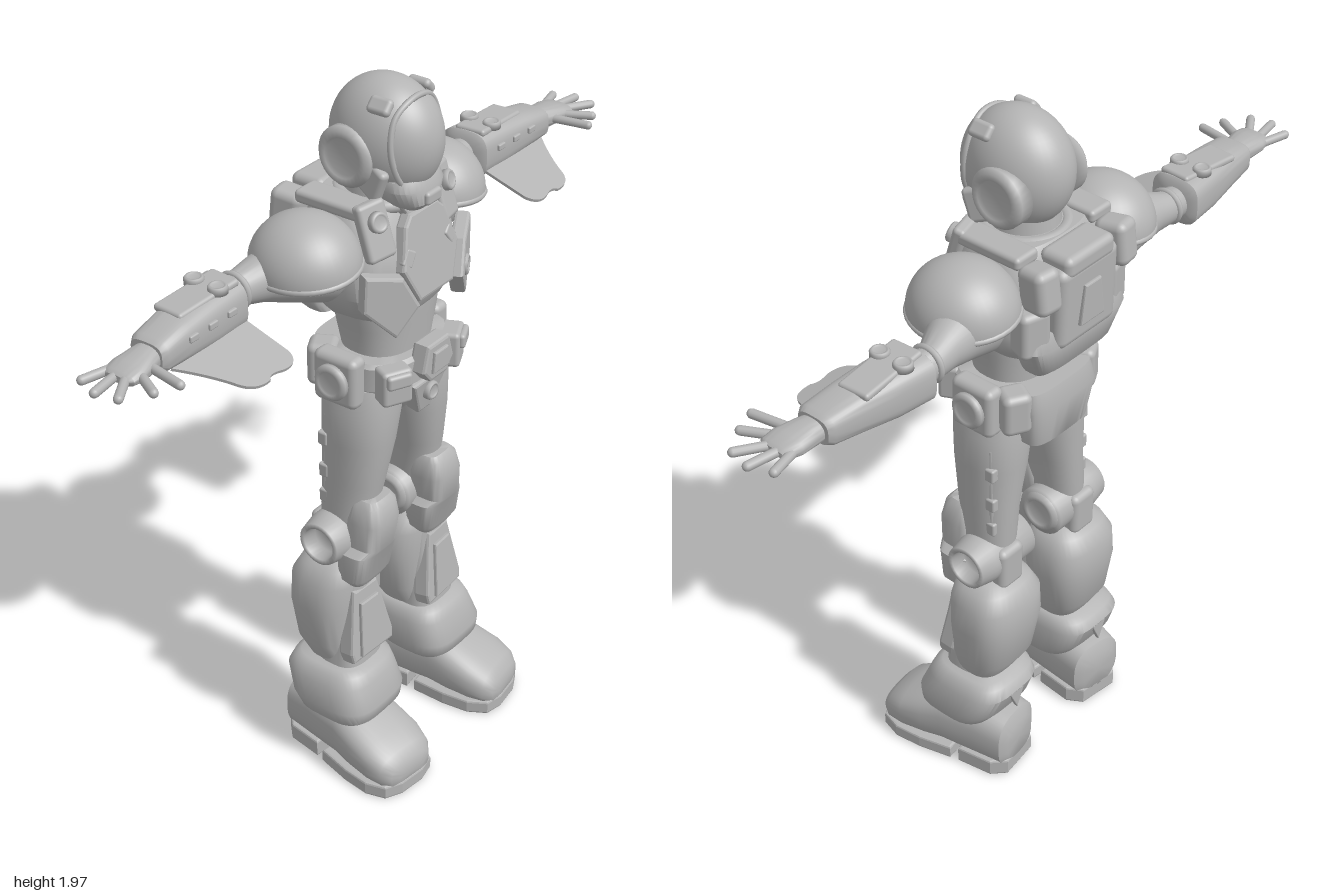
import * as THREE from 'three';
import { toCreasedNormals } from 'three/addons/utils/BufferGeometryUtils.js';
import { RoundedBoxGeometry } from 'three/addons/geometries/RoundedBoxGeometry.js';

const V = (x, y, z) => new THREE.Vector3(x, y, z);

// Superellipse rings along an axis. Ring: [position, halfA, halfB, centreA, centreB]
// (A, B) is (x, z) along y, (y, z) along x, (x, y) along z.
function loft(rings, p = 2, axis = 'y', n = 36) {
  const pos = [], idx = [], pw = v => Math.sign(v) * Math.pow(Math.abs(v), 2 / p);
  for (const [t, a, b, ca = 0, cb = 0] of rings) {
    const sa = axis === 'x' ? -1 : 1, sb = axis === 'z' ? -1 : 1;
    for (let j = 0; j < n; j++) {
      const w = (j / n) * Math.PI * 2;
      pos.push(sa * ca + a * pw(Math.cos(w)), t, sb * cb + b * pw(Math.sin(w)));
    }
  }
  const centre = (r, sa = axis === 'x' ? -1 : 1, sb = axis === 'z' ? -1 : 1) =>
    pos.push(sa * (r[3] || 0), r[0], sb * (r[4] || 0));
  centre(rings[0]); centre(rings[rings.length - 1]);
  const m = rings.length, bot = m * n, top = bot + 1;
  for (let j = 0; j < n; j++) {
    const k = (j + 1) % n;
    for (let i = 0; i < m - 1; i++) {
      const a = i * n + j, b = i * n + k;
      idx.push(a, a + n, b, b, a + n, b + n);
    }
    idx.push(bot, j, k, top, (m - 1) * n + k, (m - 1) * n + j);
  }
  const g = new THREE.BufferGeometry();
  g.setAttribute('position', new THREE.Float32BufferAttribute(pos, 3));
  g.setIndex(idx);
  if (axis === 'x') g.rotateZ(-Math.PI / 2);
  if (axis === 'z') g.rotateX(Math.PI / 2);
  return toCreasedNormals(g, 0.75);
}

// Bevelled plate facing +z
function plate(pts, depth, bevel = 0.008) {
  const s = new THREE.Shape(pts.map(([x, y]) => new THREE.Vector2(x, y)));
  return new THREE.ExtrudeGeometry(s, { depth, bevelEnabled: bevel > 0, bevelSize: bevel, bevelThickness: bevel, bevelOffset: -bevel, bevelSegments: 2 });
}
const box = (w, h, d, r = 0.012) => new RoundedBoxGeometry(w, h, d, 3, Math.min(r, w / 2.1, h / 2.1, d / 2.1));

// Round boss along y with a softened top edge
const boss = (r, h) => new THREE.LatheGeometry([[0, -h / 2], [r, -h / 2], [r, h * 0.25], [r * 0.86, h / 2], [r * 0.66, h / 2], [r * 0.6, h * 0.3], [0, h * 0.3]]
  .map(([x, y]) => new THREE.Vector2(x, y)), 28);

// Capsule between two points
function rod(a, b, r) {
  const d = b.clone().sub(a), g = new THREE.CapsuleGeometry(r, d.length(), 5, 12);
  g.applyQuaternion(new THREE.Quaternion().setFromUnitVectors(V(0, 1, 0), d.normalize()));
  return g.translate((a.x + b.x) / 2, (a.y + b.y) / 2, (a.z + b.z) / 2);
}

function mirrored(geo) {
  const g = geo.index ? geo.toNonIndexed() : geo.clone();
  g.scale(-1, 1, 1);
  for (const a of Object.values(g.attributes)) {
    for (let t = 0; t < a.count; t += 3) for (let c = 0; c < a.itemSize; c++) {
      const v = a.getComponent(t, c);
      a.setComponent(t, c, a.getComponent(t + 2, c));
      a.setComponent(t + 2, c, v);
    }
  }
  return g;
}

export function createModel() {
  const grey = new THREE.MeshStandardMaterial({ color: 0xb4b4b4, side: THREE.DoubleSide });
  grey.name = 'armourGrey';
  const model = new THREE.Group(), body = new THREE.Group(), arms = new THREE.Group();
  model.name = 'armouredFigure'; body.name = 'body'; arms.name = 'arms';
  body.position.x = -0.01;
  model.add(body, arms);

  const put = (name, geo, pos = [0, 0, 0], rot = [0, 0, 0], parent = body) => {
    if (!geo.attributes.normal) geo.computeVertexNormals();
    geo.applyMatrix4(new THREE.Matrix4().makeRotationFromEuler(new THREE.Euler(...rot)).setPosition(...pos));
    const m = new THREE.Mesh(geo, grey);
    m.name = name;
    parent.add(m);
    return m;
  };
  const pair = (name, geo, pos, rot, parent = body) => {
    const left = put(name + 'Left', geo, pos, rot, parent);
    put(name + 'Right', mirrored(left.geometry), undefined, undefined, parent);
  };
  const H = Math.PI / 2;

  // Helmet
  const dome = (k, ...a) => new THREE.SphereGeometry(1, 40, 28, ...a).scale(0.122 * k, 0.155 * k, 0.15 * k);
  put('helmet', dome(1), [0, 1.813, -0.01]);
  put('visor', dome(1.025, H - 0.85, 1.7, 0.75, 1.5), [0, 1.813, -0.01]);
  const rim = [[-0.4, 0.72], [0.4, 0.72], [0.85, 1.0], [0.95, 1.5], [0.8, 2.0], [0.5, 2.3], [-0.5, 2.3], [-0.8, 2.0], [-0.95, 1.5], [-0.85, 1.0]]
    .map(([f, t]) => V(0.124 * Math.sin(f) * Math.sin(t), 0.157 * Math.cos(t), 0.152 * Math.cos(f) * Math.sin(t)));
  put('visorFrame', new THREE.TubeGeometry(new THREE.CatmullRomCurve3(rim, true), 80, 0.008, 8, true), [0, 1.813, -0.01]);
  put('chinGuard', loft([[1.65, 0.05, 0.05, 0, 0.06], [1.67, 0.075, 0.075, 0, 0.055], [1.71, 0.095, 0.085, 0, 0.045], [1.735, 0.09, 0.075, 0, 0.04]], 2.6));
  put('chinVent', box(0.06, 0.035, 0.02), [0, 1.685, 0.13]);
  pair('earDisc', boss(0.08, 0.05), [0.108, 1.785, -0.045], [0, 0, -H]);
  pair('cheekPiece', box(0.03, 0.09, 0.08), [0.1, 1.735, 0.025], [0.35, 0.3, 0]);
  pair('helmetLamp', box(0.025, 0.045, 0.065), [0.083, 1.925, 0.035], [0, 0, 0.75]);
  put('neck', new THREE.CylinderGeometry(0.085, 0.1, 0.12, 28), [0, 1.66, -0.03]);
  put('collar', new THREE.TorusGeometry(0.105, 0.02, 10, 36).rotateX(H), [0, 1.66, -0.03]);

  // Torso
  put('abdomen', loft([[1.18, 0.135, 0.1, 0, -0.01], [1.25, 0.125, 0.1, 0, -0.01], [1.33, 0.145, 0.108, 0, -0.01], [1.42, 0.16, 0.11, 0, -0.01]], 2.4));
  put('chest', loft([[1.345, 0.13, 0.115, 0, -0.035], [1.38, 0.165, 0.135, 0, -0.025], [1.45, 0.21, 0.152, 0, -0.02], [1.55, 0.2, 0.145, 0, -0.035], [1.64, 0.18, 0.125, 0, -0.05], [1.675, 0.15, 0.1, 0, -0.05]], 2.7));
  put('breastPlate', plate([[-0.07, -0.115], [0.07, -0.115], [0.115, -0.02], [0.08, 0.085], [0.055, 0.11], [-0.055, 0.11], [-0.08, 0.085], [-0.115, -0.02]], 0.02), [0, 1.535, 0.1], [-0.2, 0, 0]);
  put('throatPlate', plate([[-0.045, -0.03], [0.045, -0.03], [0.075, 0.03], [-0.075, 0.03]], 0.02), [0, 1.65, 0.065], [-0.3, 0, 0]);
  pair('ribPlate', plate([[-0.085, -0.01], [-0.02, -0.09], [0.07, 0.0], [0.065, 0.1], [-0.04, 0.075]], 0.025), [0.15, 1.44, 0.095], [0.0, 0.5, 0]);
  pair('shoulderStrap', box(0.085, 0.15, 0.035), [0.14, 1.625, 0.058], [-0.3, 0.25, 0]);
  pair('shoulderBridge', box(0.08, 0.035, 0.2), [0.14, 1.67, -0.06]);
  pair('strapButton', boss(0.027, 0.02), [0.145, 1.655, 0.075], [H - 0.3, 0, -0.25]);
  pair('chestLatch', box(0.035, 0.045, 0.02, 0.006), [0.085, 1.545, 0.118], [-0.2, 0.15, 0.6]);
  put('chestButton', boss(0.028, 0.025), [0.135, 1.44, 0.135], [H, 0, -0.45]);

  // Backpack
  put('packCore', box(0.22, 0.23, 0.1, 0.025), [0, 1.53, -0.19], [-0.03, 0, 0]);
  put('packHatch', plate([[-0.045, -0.06], [0.045, -0.06], [0.03, 0.05], [-0.03, 0.05]], 0.008, 0.004), [0, 1.53, -0.238], [0, Math.PI, 0]);
  put('packTop', box(0.18, 0.06, 0.1, 0.02), [0, 1.645, -0.195]);
  pair('packPod', box(0.075, 0.12, 0.09, 0.022), [0.145, 1.61, -0.2], [0.12, -0.15, 0]);
  pair('packSide', box(0.085, 0.13, 0.07, 0.018), [0.15, 1.48, -0.175], [0, -0.3, 0]);
  put('backPlate', loft([[1.325, 0.12, 0.04, 0, -0.15], [1.35, 0.14, 0.05, 0, -0.165], [1.43, 0.18, 0.055, 0, -0.175], [1.47, 0.17, 0.045, 0, -0.17]], 4));

  // Belt and hips
  put('pelvis', loft([[1.05, 0.035, 0.055], [1.09, 0.08, 0.085], [1.13, 0.125, 0.105], [1.2, 0.15, 0.11]].map(r => [...r, 0, -0.005]), 2.4));
  put('belt', loft([[1.165, 0.16, 0.115], [1.175, 0.17, 0.125], [1.24, 0.17, 0.125], [1.25, 0.16, 0.115]], 2.6));
  put('buckle', plate([[-0.065, -0.02], [-0.035, -0.055], [0.035, -0.055], [0.065, -0.02], [0.045, 0.05], [-0.045, 0.05]], 0.035), [0, 1.235, 0.115]);
  put('buckleFace', plate([[-0.035, -0.03], [0.035, -0.03], [0.028, 0.028], [-0.028, 0.028]], 0.008, 0.004), [0, 1.235, 0.155]);
  put('groinPlate', plate([[-0.075, 0.05], [-0.025, -0.06], [0.025, -0.06], [0.075, 0.05]], 0.03), [0, 1.13, 0.088], [0.2, 0, 0]);
  put('groinStud', boss(0.026, 0.025), [0, 1.13, 0.13], [H, 0, 0]);
  pair('beltPouch', box(0.085, 0.1, 0.06), [0.125, 1.2, 0.105], [0, 0.45, 0]);
  pair('pouchFlap', box(0.07, 0.04, 0.02), [0.14, 1.225, 0.135], [0, 0.45, 0]);
  pair('hipBox', box(0.06, 0.145, 0.135, 0.02), [0.178, 1.2, -0.025]);
  pair('hipDisc', boss(0.05, 0.03), [0.21, 1.2, -0.025], [0, 0, -H]);
  pair('rearPouch', box(0.08, 0.12, 0.08, 0.02), [0.135, 1.2, -0.11], [0, -0.5, 0]);
  put('seatPack', loft([[1.06, 0.07, 0.03, 0, -0.11], [1.085, 0.11, 0.05, 0, -0.12], [1.2, 0.13, 0.055, 0, -0.13], [1.25, 0.12, 0.045, 0, -0.125]], 3.5));

  // Shoulders and upper arms
  pair('shoulderPad', new THREE.SphereGeometry(1, 36, 18, 0, Math.PI * 2, 0, 1.65).scale(0.135, 0.13, 0.145), [0.262, 1.555, -0.06], [0, 0, -0.1]);
  pair('shoulderRim', new THREE.TorusGeometry(1, 0.07, 8, 40).rotateX(H).scale(0.13, 0.13, 0.14), [0.262, 1.553, -0.06], [0, 0, -0.1]);
  pair('upperArm', loft([[0.16, 0.08, 0.09, 1.53, -0.06], [0.24, 0.1, 0.105, 1.53, -0.07], [0.32, 0.082, 0.085, 1.54, -0.09], [0.39, 0.058, 0.058, 1.54, -0.115], [0.44, 0.046, 0.044, 1.535, -0.13], [0.53, 0.042, 0.04, 1.53, -0.13]], 2, 'x'), undefined, undefined, arms);
  pair('elbowBand', new THREE.TorusGeometry(0.043, 0.009, 8, 28).rotateY(H), [0.455, 1.535, -0.13], undefined, arms);

  // Gauntlets, fins and hands
  pair('gauntlet', loft([[0.488, 0.054, 0.06, 1.535, -0.125], [0.498, 0.065, 0.073, 1.535, -0.125], [0.6, 0.063, 0.07, 1.535, -0.118], [0.7, 0.053, 0.063, 1.535, -0.108], [0.785, 0.042, 0.058, 1.533, -0.1], [0.8, 0.034, 0.048, 1.532, -0.1]], 3.2, 'x'), undefined, undefined, arms);
  pair('gauntletTop', box(0.2, 0.02, 0.09, 0.009), [0.6, 1.592, -0.12], [0, 0.06, -0.07], arms);
  for (const z of [-0.158, -0.085]) pair('gauntletButton', boss(0.025, 0.02), [0.565, 1.604, z], undefined, arms);
  for (const x of [0.56, 0.63, 0.7]) pair('gauntletKey', box(0.03, 0.018, 0.014, 0.004), [x, 1.55, -0.05 + (x - 0.56) * 0.03], undefined, arms);
  const fin = new THREE.Shape();
  fin.moveTo(0.5, 0).lineTo(0.5, 0.13).quadraticCurveTo(0.51, 0.175, 0.56, 0.165).quadraticCurveTo(0.6, 0.15, 0.61, 0.168);
  fin.quadraticCurveTo(0.67, 0.175, 0.69, 0.12).quadraticCurveTo(0.72, 0.06, 0.77, 0).closePath();
  pair('armFin', new THREE.ExtrudeGeometry(fin, { depth: 0.008, bevelEnabled: false, curveSegments: 10 }), [0, 1.498, -0.055], [H + 0.3, 0, 0], arms);
  pair('palm', loft([[0.78, 0.03, 0.036, 1.53, -0.1], [0.82, 0.03, 0.043, 1.53, -0.095], [0.87, 0.024, 0.052, 1.53, -0.09], [0.905, 0.017, 0.047, 1.53, -0.088], [0.915, 0.009, 0.035, 1.53, -0.088]], 2.4, 'x'), undefined, undefined, arms);
  const fingers = [[0.885, -0.125, 0.965, -0.145], [0.895, -0.1, 0.988, -0.085], [0.895, -0.075, 0.975, -0.025], [0.87, -0.055, 0.91, 0.02], [0.83, -0.065, 0.85, 0.045]];
  for (const [x0, z0, x1, z1] of fingers) pair('finger', rod(V(x0, 1.53, z0), V(x1, 1.53, z1), 0.012), undefined, undefined, arms);

  // Thighs and knees
  pair('thigh', loft([[0.66, 0.055, 0.07, 0.145, -0.03], [0.78, 0.06, 0.078, 0.14, -0.03], [0.88, 0.066, 0.088, 0.13, -0.02], [1.0, 0.083, 0.1, 0.115, -0.015], [1.1, 0.094, 0.104, 0.103, -0.012], [1.17, 0.085, 0.095, 0.09, -0.01]], 2.3));
  for (const [y, x] of [[1.0, 0.18], [0.9, 0.178], [0.82, 0.178]]) pair('thighClip', box(0.03, 0.04, 0.03, 0.006), [x, y, -0.075]);
  pair('thighSeam', rod(V(0.178, 1.07, -0.07), V(0.18, 0.8, -0.075), 0.008));
  pair('kneePad', loft([[0.585, 0.06, 0.03, 0.155, 0.03], [0.61, 0.08, 0.045, 0.155, 0.03], [0.69, 0.082, 0.055, 0.15, 0.035], [0.705, 0.06, 0.055, 0.148, 0.045], [0.78, 0.065, 0.055, 0.14, 0.05], [0.83, 0.056, 0.045, 0.137, 0.05], [0.845, 0.045, 0.03, 0.135, 0.05]], 3.5));
  pair('kneeHub', boss(0.072, 0.2), [0.155, 0.71, -0.045], [0, 0, -H]);
  pair('kneeHubInner', boss(0.06, 0.05), [0.068, 0.71, -0.045], [0, 0, H]);
  pair('kneeBack', box(0.09, 0.13, 0.05, 0.02), [0.15, 0.69, -0.1]);

  // Lower legs
  pair('calfGuard', loft([[0.325, 0.085, 0.07, 0.165, -0.045], [0.38, 0.108, 0.088, 0.162, -0.06], [0.5, 0.125, 0.1, 0.158, -0.066], [0.58, 0.12, 0.1, 0.157, -0.064], [0.625, 0.098, 0.085, 0.157, -0.055], [0.645, 0.07, 0.06, 0.157, -0.05]], 2.8));
  pair('shin', loft([[0.3, 0.085, 0.07, 0.17, -0.01], [0.45, 0.075, 0.06, 0.163, -0.01], [0.62, 0.06, 0.05, 0.155, -0.01]], 3));
  pair('shinPlate', plate([[-0.08, -0.11], [0.08, -0.11], [0.085, -0.08], [0.047, 0.105], [-0.047, 0.105], [-0.085, -0.08]], 0.035), [0.165, 0.455, 0.015], [-0.13, 0.06, 0]);
  pair('shinInset', plate([[-0.055, -0.085], [0.055, -0.085], [0.035, 0.075], [-0.035, 0.075]], 0.008, 0.004), [0.168, 0.45, 0.058], [-0.13, 0.06, 0]);

  // Ankle cuffs and boots
  pair('ankleCuff', loft([[0.165, 0.112, 0.1, 0.185, 0.005], [0.18, 0.125, 0.117, 0.185, 0.003], [0.215, 0.131, 0.132, 0.184, -0.008], [0.28, 0.122, 0.131, 0.18, -0.033], [0.31, 0.11, 0.118, 0.177, -0.033], [0.322, 0.095, 0.1, 0.176, -0.033]], 3.4));
  pair('cuffMark', plate([[-0.03, 0.03], [0, -0.035], [0.03, 0.03]], 0.008, 0.003), [0.18, 0.25, -0.152], [0, Math.PI, 0]);
  const foot = [0.197, 0, -0.02], toeOut = [0, 0.13, 0];
  pair('boot', loft([[-0.15, 0.06, 0.06, 0, 0.1], [-0.135, 0.085, 0.085, 0, 0.105], [-0.05, 0.093, 0.093, 0, 0.115], [0.06, 0.1, 0.09, 0, 0.115], [0.12, 0.106, 0.08, 0, 0.1], [0.19, 0.108, 0.066, 0, 0.085], [0.24, 0.096, 0.053, 0, 0.07], [0.263, 0.075, 0.036, 0, 0.06], [0.27, 0.045, 0.018, 0, 0.055]], 2.8, 'z'), foot, toeOut);
  const sole = [[-0.1, 0.02], [0.1, 0.02], [0.113, 0.12], [0.113, 0.2], [0.09, 0.255], [0.04, 0.273], [-0.04, 0.273], [-0.09, 0.255], [-0.113, 0.2], [-0.113, 0.12]];
  const heel = [[-0.06, -0.15], [0.06, -0.15], [0.092, -0.11], [0.096, -0.005], [-0.096, -0.005], [-0.092, -0.11]];
  pair('sole', plate(sole, 0.03, 0.006).rotateX(H).translate(0, 0.036, 0), foot, toeOut);
  pair('heel', plate(heel, 0.04, 0.006).rotateX(H).translate(0, 0.046, 0), foot, toeOut);
  return model;
}
